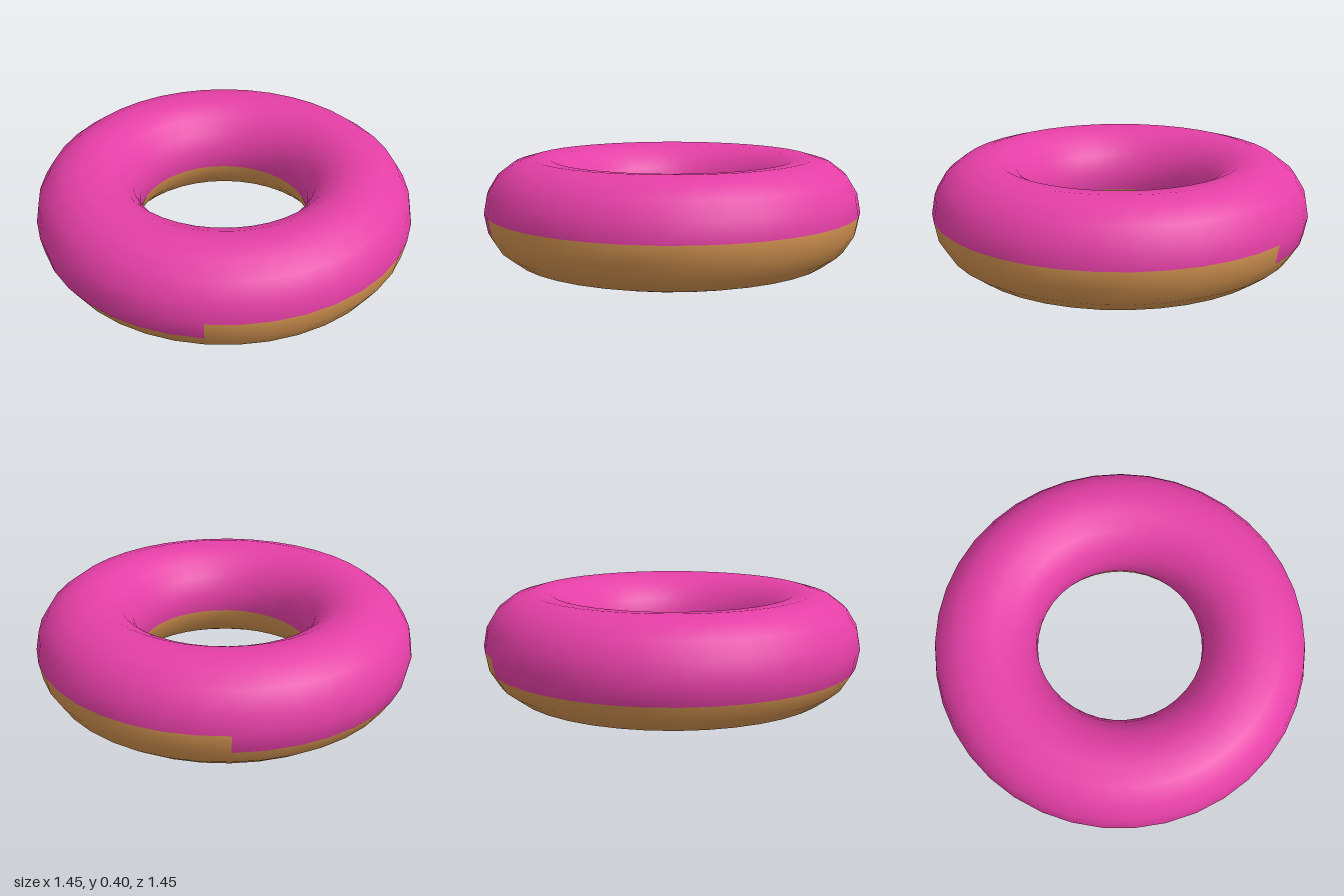
import * as THREE from 'three';

const RING = 0.525, TUBE = 0.202;   // ring radius and dough radius
const SIDES = 17, STEPS = 39;       // facets round the dough and round the ring

// Icing covers the upper rows, plus one lower outer row along half the ring
function isIcing(row, step) {
  const drip = row === SIDES - 1 && step >= 9 && step < 28;
  return row <= 8 || drip;
}

// Part of the ring whose quads pass the test
function ringPart(name, color, test) {
  const geo = new THREE.TorusGeometry(RING, TUBE, SIDES, STEPS);
  const all = geo.index.array, kept = [];
  for (let row = 0; row < SIDES; row++) {
    for (let k = 0; k < STEPS; k++) {
      const step = STEPS - 1 - k;   // counted from +x towards +z
      const at = (row * STEPS + k) * 6;
      if (test(row, step)) kept.push(...all.slice(at, at + 6));
    }
  }
  geo.setIndex(kept);
  geo.rotateX(-Math.PI / 2);
  const mesh = new THREE.Mesh(geo, new THREE.MeshStandardMaterial({ color, side: THREE.DoubleSide }));
  mesh.name = name;
  return mesh;
}

export function createModel() {
  const group = new THREE.Group();
  group.name = 'doughnut';
  group.add(
    ringPart('icing', 0xe53fa6, isIcing),
    ringPart('dough', 0xd0914f, (row, step) => !isIcing(row, step))
  );
  group.position.set(0, 0.405, -0.275);
  return group;
}
